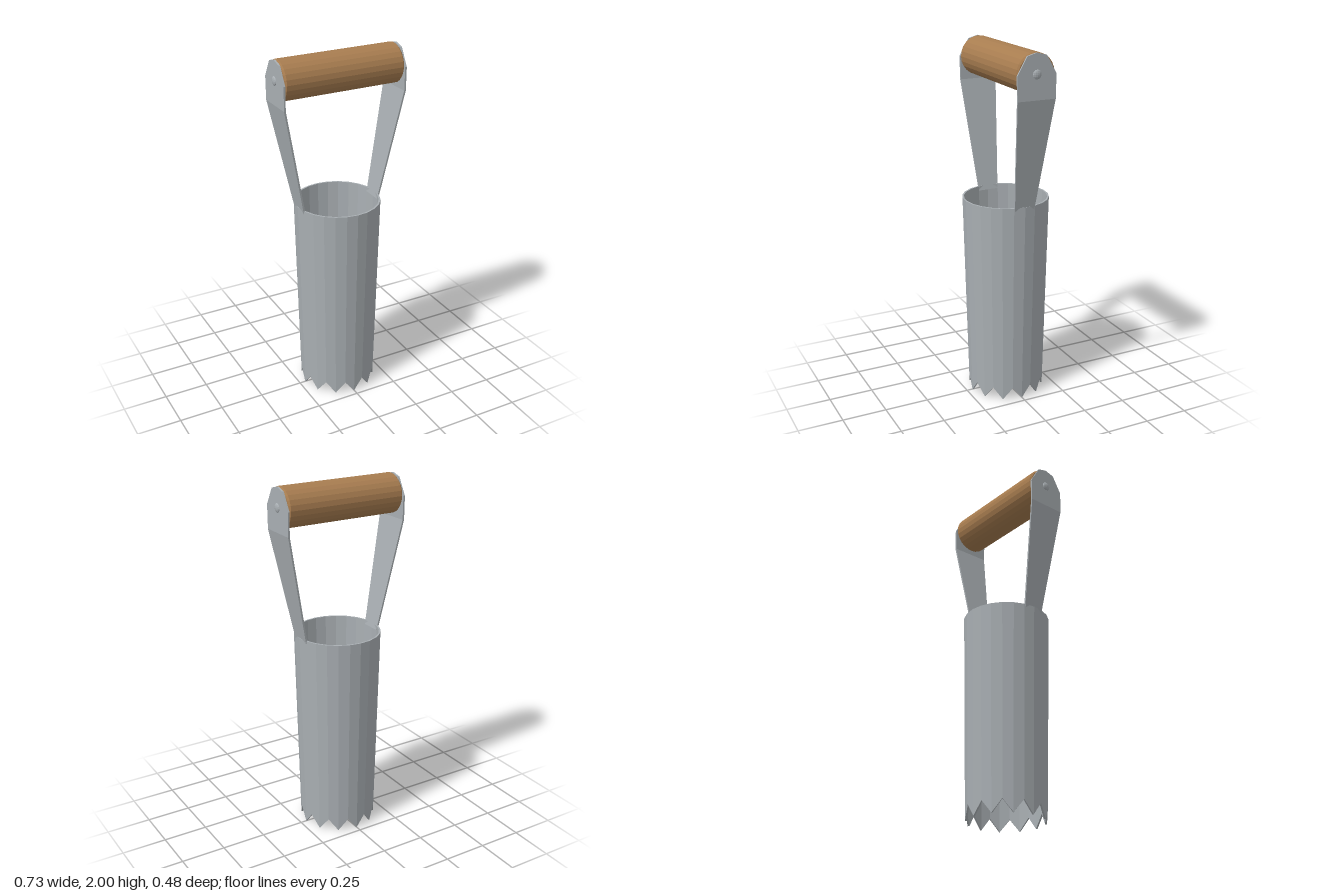
import * as THREE from 'three';

const metal = new THREE.MeshStandardMaterial({ name: 'galvanised steel', color: 0xa9afb3, flatShading: true });
const wood = new THREE.MeshStandardMaterial({ name: 'brown wood', color: 0xa87d50, flatShading: true });

function part(name, geometry, material) {
  const mesh = new THREE.Mesh(geometry, material);
  mesh.name = name;
  return mesh;
}

// Tapered open tube with a sawtooth lower edge: four rings joined in a loop
function tubeGeometry() {
  const sides = 24, top = 1.16, wall = 0.01, toothHeight = 0.07;
  const outerRadius = y => 0.215 + 0.026 * y / top;
  const positions = [];
  const ringPoint = (ring, i) => {
    const a = (i / sides) * Math.PI * 2;
    const y = ring === 1 || ring === 2 ? top : (i % 2) * toothHeight;
    const r = outerRadius(y) - (ring >= 2 ? wall : 0);
    return [r * Math.sin(a), y, r * Math.cos(a)];
  };
  // rings: 0 outer bottom, 1 outer top, 2 inner top, 3 inner bottom
  for (let i = 0; i < sides; i++) {
    for (let ring = 0; ring < 4; ring++) {
      const next = (ring + 1) % 4;
      const a = ringPoint(ring, i), b = ringPoint(ring, i + 1);
      const c = ringPoint(next, i + 1), d = ringPoint(next, i);
      positions.push(...a, ...b, ...c, ...a, ...c, ...d);
    }
  }
  const g = new THREE.BufferGeometry();
  g.setAttribute('position', new THREE.Float32BufferAttribute(positions, 3));
  g.computeVertexNormals();
  return g;
}

// Bent strap: a subdivided box whose rows follow [y, outer x, half width]
function strapGeometry() {
  const rows = [
    [1.135, 0.232, 0.058], [1.76, 0.358, 0.108], [1.89, 0.358, 0.11],
    [1.985, 0.358, 0.055], [2.0, 0.358, 0.001],
  ];
  const g = new THREE.BoxGeometry(1, 1, 2, 1, rows.length - 1, 1);
  const p = g.attributes.position;
  for (let i = 0; i < p.count; i++) {
    const [y, x, half] = rows[Math.round((p.getY(i) + 0.5) * (rows.length - 1))];
    p.setXYZ(i, x - (p.getX(i) < 0 ? 0.01 : 0), y, p.getZ(i) * half);
  }
  g.computeVertexNormals();
  return g;
}

export function createModel() {
  const model = new THREE.Group();
  model.name = 'bulb planter';
  model.add(part('toothedTube', tubeGeometry(), metal));

  // Wooden grip with small chamfers at both ends
  const profile = [[0, -0.347], [0.1, -0.347], [0.109, -0.338], [0.109, 0.338], [0.1, 0.347], [0, 0.347]]
    .map(([r, y]) => new THREE.Vector2(r, y));
  const grip = part('grip', new THREE.LatheGeometry(profile, 24), wood);
  grip.rotation.z = Math.PI / 2;
  grip.position.y = 1.891;
  model.add(grip);

  // Strap and domed rivet on each side
  for (const [side, turn] of [['left', 0], ['right', Math.PI]]) {
    const arm = new THREE.Group();
    arm.name = side + 'Arm';
    arm.add(part(side + 'Strap', strapGeometry(), metal));
    const rivet = part(side + 'Rivet', new THREE.SphereGeometry(0.025, 12, 8), metal);
    rivet.scale.x = 0.4;
    rivet.position.set(0.357, 1.891, 0);
    arm.add(rivet);
    arm.rotation.y = turn;
    model.add(arm);
  }
  return model;
}
